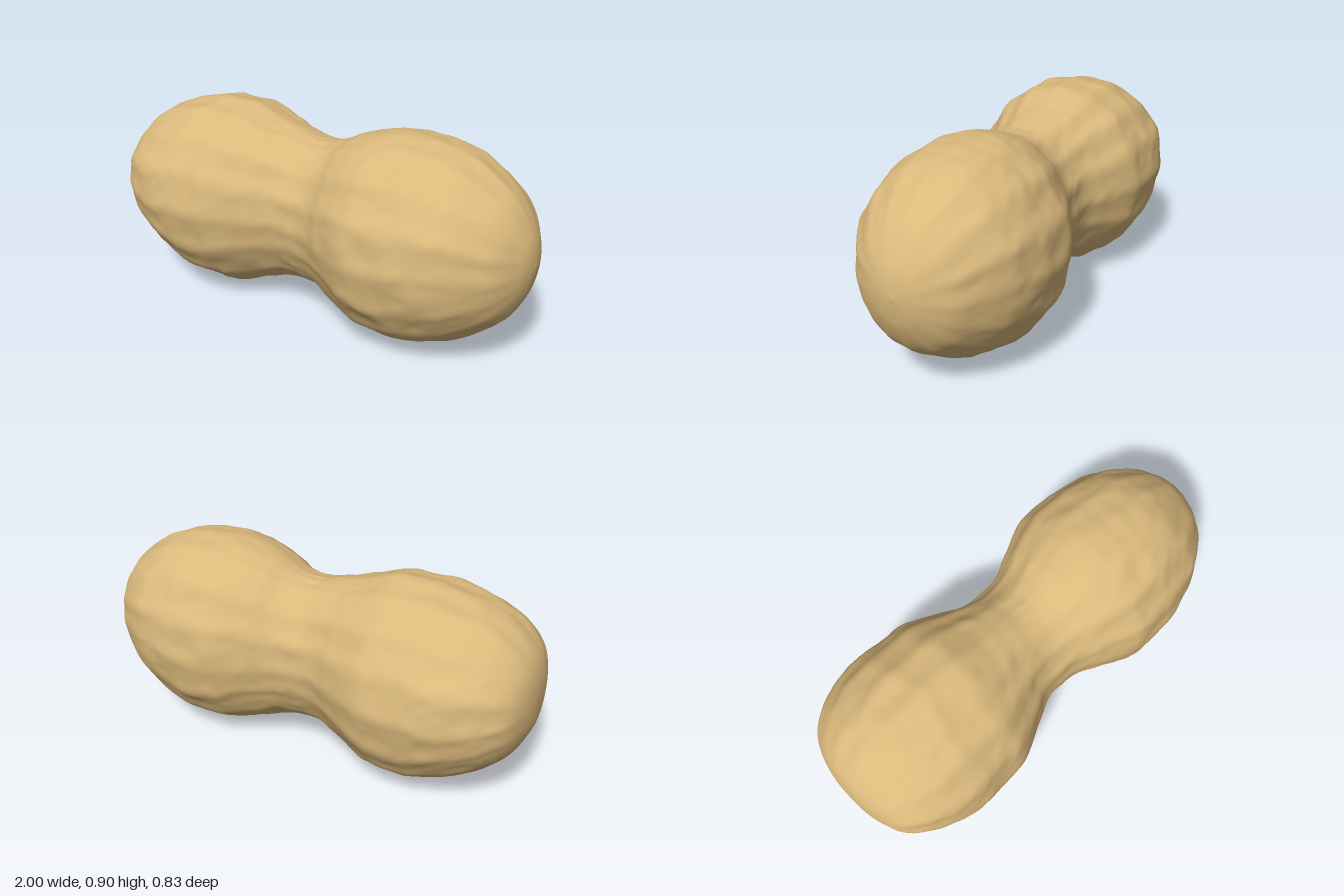
import * as THREE from 'three';
import { mergeVertices } from 'three/addons/utils/BufferGeometryUtils.js';

// Cross-sections along the shell: x, top y, bottom y, half depth
const SECTIONS = [
  [-1.0, 0.47, 0.47, 0], [-0.995, 0.56, 0.38, 0.09], [-0.975, 0.64, 0.32, 0.18],
  [-0.94, 0.70, 0.255, 0.26], [-0.88, 0.76, 0.19, 0.32], [-0.8, 0.81, 0.125, 0.365],
  [-0.65, 0.86, 0.05, 0.405], [-0.5, 0.875, 0.012, 0.405], [-0.35, 0.872, 0.03, 0.385],
  [-0.2, 0.825, 0.085, 0.31], [-0.1, 0.80, 0.115, 0.268], [0, 0.78, 0.12, 0.26],
  [0.1, 0.80, 0.10, 0.275], [0.2, 0.845, 0.068, 0.325], [0.33, 0.888, 0.025, 0.385],
  [0.46, 0.895, 0.008, 0.392], [0.6, 0.885, 0.035, 0.378], [0.74, 0.84, 0.095, 0.335],
  [0.85, 0.77, 0.17, 0.265], [0.92, 0.70, 0.24, 0.20], [0.97, 0.615, 0.335, 0.115],
  [0.99, 0.555, 0.41, 0.06], [1.0, 0.48, 0.48, 0],
];

// Smooth repeatable noise in -1..1
function noise(x, y) {
  const hash = (i, j) => {
    const s = Math.sin(i * 127.1 + j * 311.7) * 43758.5453;
    return (s - Math.floor(s)) * 2 - 1;
  };
  const i = Math.floor(x), j = Math.floor(y);
  const ease = (t) => t * t * (3 - 2 * t);
  const u = ease(x - i), v = ease(y - j);
  const mix = THREE.MathUtils.lerp;
  return mix(mix(hash(i, j), hash(i + 1, j), u), mix(hash(i, j + 1), hash(i + 1, j + 1), u), v);
}

// Raised lengthwise veins, joined by fainter cross ribs, over uneven dents
function relief(x, angle) {
  const a = Math.abs(angle); // mirrored front to back
  const wander = 0.1 * noise(x * 4, a * 3);
  const vein = Math.abs(Math.cos(8 * (a + wander * 0.6))) ** 3 - 0.42;
  const column = Math.floor(a * 8 / Math.PI);
  const rib = Math.abs(Math.cos(Math.PI * (x * 5.5 + (column % 2) * 0.12 + wander))) ** 6 - 0.3;
  const strength = 0.7 + 0.3 * noise(x * 3 + 20, a * 2.5);
  return strength * (0.022 * vein + 0.009 * rib)
    + 0.011 * noise(x * 9 + 7, a * 5) + 0.005 * noise(x * 20, a * 11);
}

function shellGeometry(rings = 180, sides = 144) {
  const spine = new THREE.CatmullRomCurve3(
    SECTIONS.map(([x]) => new THREE.Vector3(x, 0, 0)), false, 'catmullrom', 0.5);
  const outline = new THREE.CatmullRomCurve3(
    SECTIONS.map(([, top, bottom, depth]) => new THREE.Vector3(top, bottom, depth)),
    false, 'catmullrom', 0.5);
  const positions = [], index = [];
  for (let r = 0; r <= rings; r++) {
    const t = r / rings;
    const x = THREE.MathUtils.clamp(spine.getPoint(t).x, -1, 1);
    const o = outline.getPoint(t);
    const mid = (o.x + o.y) / 2, half = (o.x - o.y) / 2;
    const fade = THREE.MathUtils.smoothstep(1 - Math.abs(x), 0, 0.12);
    for (let s = 0; s < sides; s++) {
      const angle = (s / sides) * Math.PI * 2 - Math.PI;
      const f = 1 + relief(x, angle) * (0.4 + 0.6 * fade) * 1.15;
      positions.push(x, mid + Math.cos(angle) * half * f, Math.sin(angle) * o.z * f);
      if (r < rings) {
        const a = r * sides + s, b = r * sides + (s + 1) % sides;
        index.push(a, b, a + sides, b, b + sides, a + sides);
      }
    }
  }
  let geometry = new THREE.BufferGeometry();
  geometry.setAttribute('position', new THREE.Float32BufferAttribute(positions, 3));
  geometry.setIndex(index);
  geometry = mergeVertices(geometry, 1e-5); // closes both tips
  geometry.computeBoundingBox();
  geometry.translate(0, -geometry.boundingBox.min.y, 0);
  geometry.computeVertexNormals();
  return geometry;
}

export function createModel() {
  const group = new THREE.Group();
  group.name = 'peanut';
  const shell = new THREE.Mesh(shellGeometry(), new THREE.MeshStandardMaterial({ color: 0xdbb97c }));
  shell.name = 'shell';
  group.add(shell);
  return group;
}
